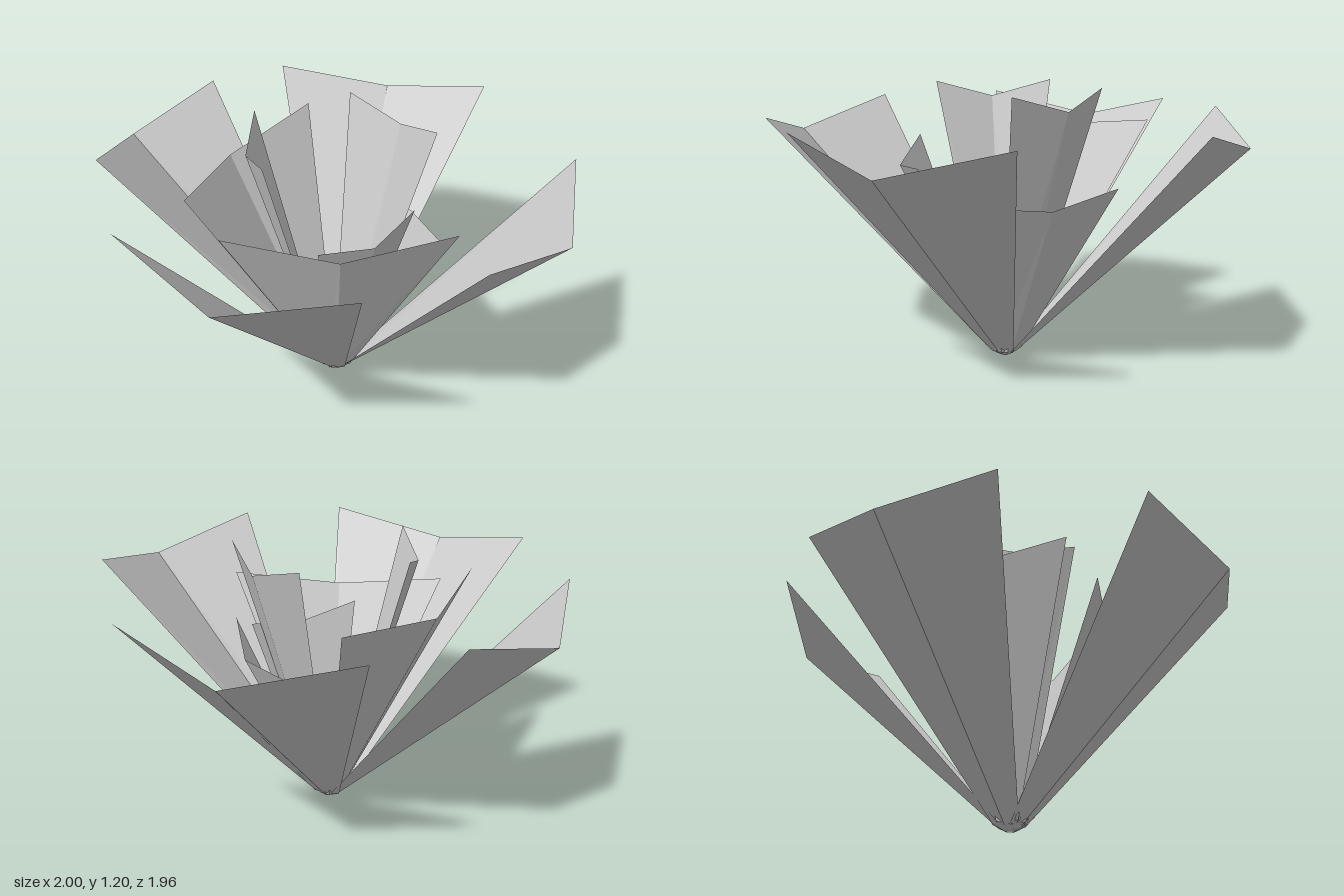
import * as THREE from 'three';

const material = new THREE.MeshStandardMaterial({
  color: 0xcccccc, flatShading: true, side: THREE.DoubleSide,
});

// A folded leaf: three cross-sections (foot, bend, tip), each with a lower
// middle crease and two raised edges. Angle runs from +x towards +z.
function makeLeaf({ angle, spread, midR, midY, edgeR, edgeY }) {
  const s = THREE.MathUtils.degToRad(spread);
  const rows = [ // crease radius, crease y, edge radius, edge y, half width
    [0.012, 0, 0.012, 0.005, 0.02],
    [0.05, 0.02, 0.04, 0.035, 0.062],
    [midR, midY, edgeR * Math.cos(s), edgeY, edgeR * Math.sin(s)],
  ];
  const positions = [];
  const index = [];
  rows.forEach(([cr, cy, er, ey, w], i) => {
    positions.push(er, ey, -w, cr, cy, 0, er, ey, w);
    if (i === 0) return;
    for (let j = 0; j < 2; j++) {
      const a = (i - 1) * 3 + j;
      const b = a + 3;
      index.push(a, b, a + 1, a + 1, b, b + 1);
    }
  });
  const indexed = new THREE.BufferGeometry();
  indexed.setAttribute('position', new THREE.Float32BufferAttribute(positions, 3));
  indexed.setIndex(index);
  const geometry = indexed.toNonIndexed();
  geometry.rotateY(-THREE.MathUtils.degToRad(angle));
  geometry.computeVertexNormals();
  return new THREE.Mesh(geometry, material);
}

// Leaves of each whorl: [angle, spread, midR, midY, edgeR, edgeY]
const whorls = {
  outerLeaf: [
    [69.3, 29, 1.015, 0.97, 0.985, 1.085],
    [155.6, 30, 1.02, 0.97, 1.0, 1.085],
    [247, 27, 1.03, 0.97, 0.985, 1.085],
    [324.8, 29.5, 1.026, 0.97, 1.005, 1.085],
  ],
  middleLeaf: [
    [248, 51, 0.52, 0.98, 0.65, 1.04],
    [128.5, 52, 0.45, 0.87, 0.595, 0.935],
    [12.2, 51, 0.38, 0.73, 0.49, 0.775],
  ],
  innerLeaf: [
    [213.5, 39.5, 0.37, 1.125, 0.41, 1.2],
    [359, 40, 0.37, 1.125, 0.41, 1.2],
    [90, 53, 0.245, 0.77, 0.335, 0.83],
  ],
};

export function createModel() {
  const plant = new THREE.Group();
  plant.name = 'foldedLeafPlant';
  for (const [name, leaves] of Object.entries(whorls)) {
    const whorl = new THREE.Group();
    whorl.name = name + 'Whorl';
    leaves.forEach(([angle, spread, midR, midY, edgeR, edgeY], i) => {
      const leaf = makeLeaf({ angle, spread, midR, midY, edgeR, edgeY });
      leaf.name = name + (i + 1);
      whorl.add(leaf);
    });
    plant.add(whorl);
  }
  return plant;
}
